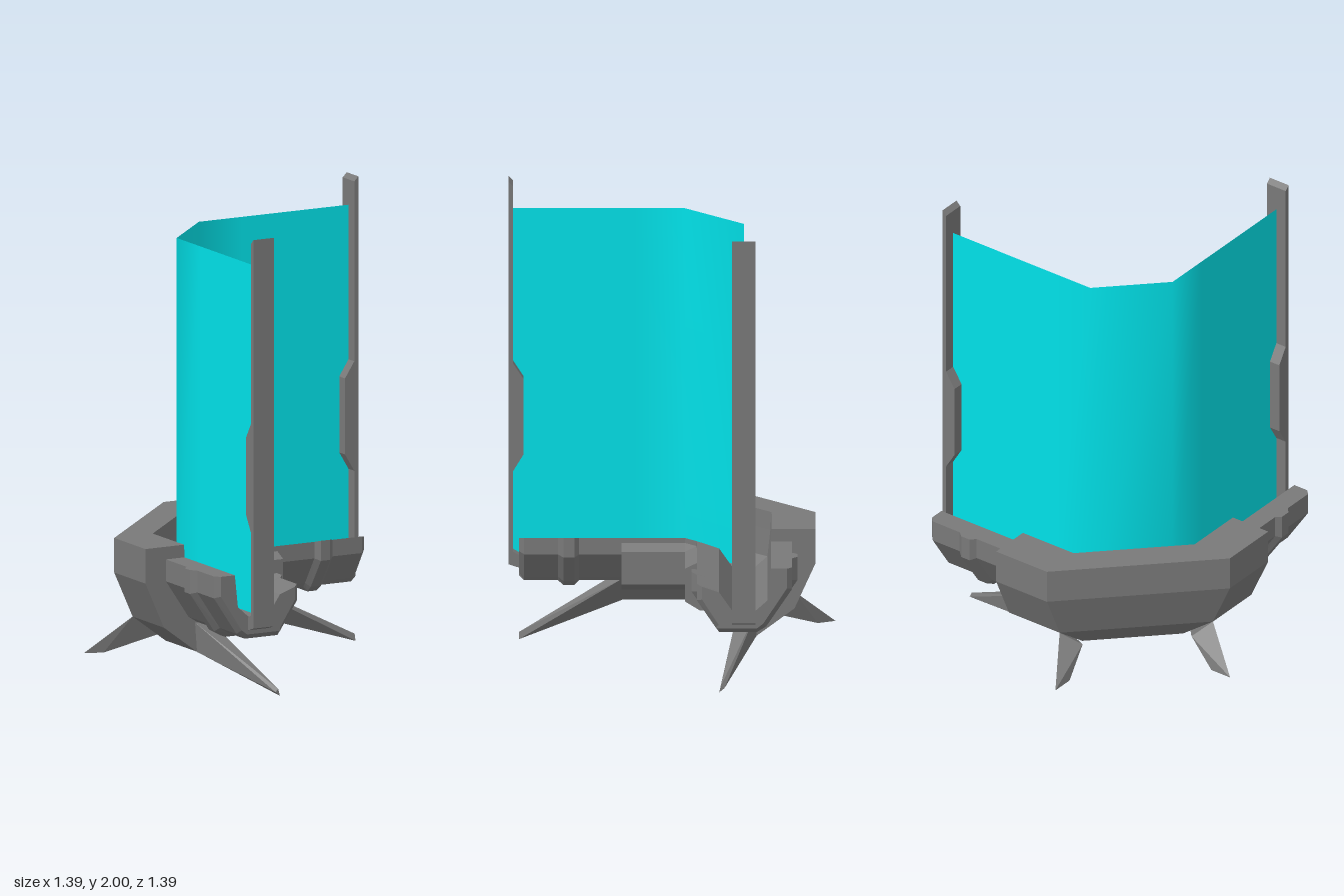
import * as THREE from 'three';
import { ConvexGeometry } from 'three/addons/geometries/ConvexGeometry.js';

const grey = new THREE.MeshStandardMaterial({ color: 0x797979, flatShading: true });
const teal = new THREE.MeshStandardMaterial({ color: 0x00e1e8, side: THREE.DoubleSide });
const CORNER = -0.055; // where each arm meets the diagonal corner
const MID = -0.305; // centre line of both arms

// Sweep cross-sections along the x arm, over the corner and down the z arm.
// Each station is [distance along the arm, profile of (across, y) points].
function cornerLoft(stations) {
  const rings = [
    ...stations.map(([s, pts]) => pts.map(([p, y]) => [s, y, p])),
    ...[...stations].reverse().map(([s, pts]) => pts.map(([p, y]) => [p, y, s])),
  ];
  const n = rings[0].length;
  const index = [];
  for (let r = 0; r < rings.length - 1; r++) {
    for (let k = 0; k < n; k++) {
      const a = r * n + k, b = r * n + (k + 1) % n;
      index.push(a, b, b + n, a, b + n, a + n);
    }
  }
  // end caps
  const contour = stations[0][1].map(([p, y]) => new THREE.Vector2(p, y));
  const last = (rings.length - 1) * n;
  for (const [a, b, c] of THREE.ShapeUtils.triangulateShape(contour, [])) {
    index.push(a, c, b, last + a, last + b, last + c);
  }
  const geo = new THREE.BufferGeometry();
  geo.setAttribute('position', new THREE.Float32BufferAttribute(rings.flat(2), 3));
  geo.setIndex(index);
  const flat = geo.toNonIndexed();
  flat.computeVertexNormals();
  return flat;
}

// Channel-shaped arm section; d pushes the outer wall in or out
const armProfile = (d) => [
  [-0.51 - d, 0.545], [-0.51 - d, 0.45 - d * 0.4], [-0.4 - d * 0.6, 0.285 - d * 0.8],
  [-0.36, 0.26 - d], [-0.2, 0.26 - d], [-0.185 + d * 0.6, 0.28 - d * 0.8],
  [-0.105 + d, 0.4 - d * 0.4], [-0.105 + d, 0.472 + d * 0.3],
  [-0.2, 0.44], [-0.255, 0.36], [-0.355, 0.36], [-0.405, 0.405], [-0.42, 0.545],
];

// Heavier casing around the corner, with a keel underneath
const housingProfile = [
  [-0.61, 0.6], [-0.61, 0.45], [-0.52, 0.25], [-0.36, 0.13], [-0.28, 0.245],
  [-0.12, 0.24], [-0.055, 0.28], [-0.055, 0.425], [-0.105, 0.45],
  [-0.2, 0.425], [-0.255, 0.34], [-0.355, 0.34], [-0.41, 0.39], [-0.422, 0.6],
];

function hull(points) {
  return new ConvexGeometry(points.map((p) => new THREE.Vector3(...p)));
}

// Bent sheet; it reaches below the left arm but stops inside the front one
function energyPanel() {
  const path = [
    [0.675, 0.24, MID], [0.15, 0.24, MID], [CORNER, 0.24, MID],
    [MID, 0.355, CORNER], [MID, 0.355, 0.15], [MID, 0.355, 0.675],
  ];
  const pos = [], index = [];
  path.forEach(([x, bottom, z], i) => {
    pos.push(x, bottom, z, x, 1.87, z);
    if (i) {
      const a = 2 * i - 2;
      index.push(a, a + 3, a + 2, a, a + 1, a + 3);
    }
  });
  const geo = new THREE.BufferGeometry();
  geo.setAttribute('position', new THREE.Float32BufferAttribute(pos, 3));
  geo.setIndex(index);
  geo.computeVertexNormals();
  return geo;
}

function postGeometry() {
  const outline = [
    [0.695, 0.315], [0.695, 2], [0.675, 1.98], [0.675, 1.2], [0.63, 1.13],
    [0.63, 0.8], [0.675, 0.725], [0.675, 0.37], [0.65, 0.355], [0.65, 0.3],
  ].map(([x, y]) => new THREE.Vector2(x, y));
  const geo = new THREE.ExtrudeGeometry(new THREE.Shape(outline), { depth: 0.1, bevelEnabled: false });
  return geo.translate(0, 0, -0.05);
}

export function createModel() {
  const model = new THREE.Group();
  const add = (name, geo, mat = grey) => {
    const mesh = new THREE.Mesh(geo, mat);
    mesh.name = name;
    model.add(mesh);
    return mesh;
  };

  // Base: arms with chamfered ends and a raised collar on each
  const arm = [
    [0.65, -0.022], [0.628, 0], [0.485, 0], [0.46, 0.022], [0.415, 0.022], [0.395, 0], [CORNER, 0],
  ];
  add('arms', cornerLoft(arm.map(([s, d]) => [s, armProfile(d)])));
  add('cornerHousing', cornerLoft([[0.215, housingProfile], [CORNER, housingProfile]]));

  add('energyPanel', energyPanel(), teal);

  // Feet: a long leg under each arm and a short spike behind it
  const leg = [
    [0.21, 0.13, -0.36], [0.21, 0.245, -0.28], [0.21, 0.26, -0.37],
    [0.65, 0, -0.2], [0.65, 0.03, -0.208], [0.65, 0.018, -0.222],
  ];
  const spike = [
    [-0.165, 0.09, -0.695], [-0.165, 0.09, -0.595], [-0.13, 0.09, -0.62],
    [-0.055, 0.25, -0.52], [-0.055, 0.16, -0.4], [-0.14, 0.2, -0.47],
  ];
  const swap = ([x, y, z]) => [z, y, x];
  add('leftLeg', hull(leg));
  add('frontLeg', hull(leg.map(swap)));
  add('backSpike', hull(spike));
  add('rightSpike', hull(spike.map(swap)));

  // Upright posts closing both ends of the panel
  add('leftPost', postGeometry()).position.z = MID;
  const frontPost = add('frontPost', postGeometry());
  frontPost.rotation.y = -Math.PI / 2;
  frontPost.position.x = MID;

  return model;
}
